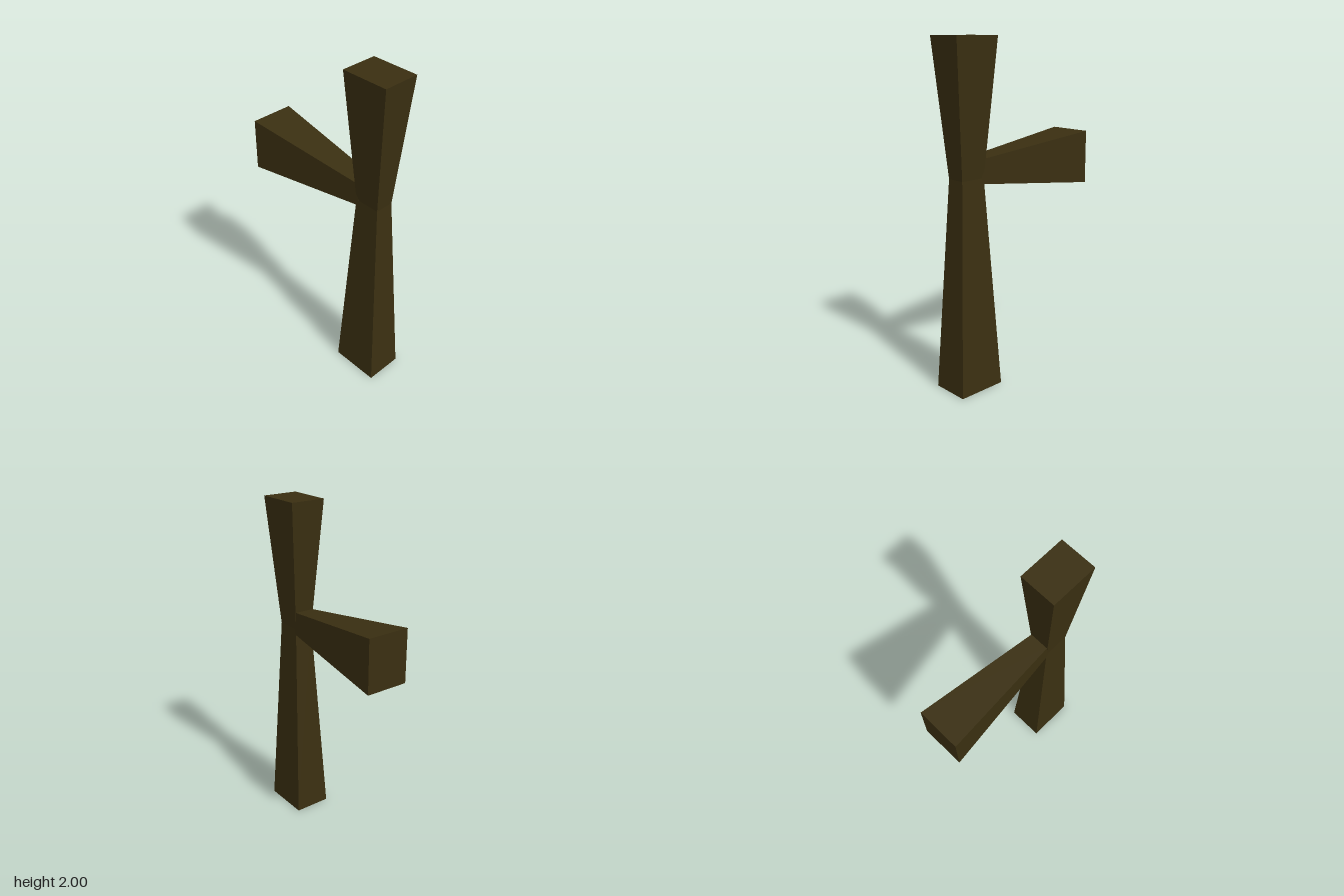
import * as THREE from 'three';

// Box whose cross-section changes linearly along y: bottom and top are [halfX, halfZ]
function taperedBox(height, bottom, top) {
  const geometry = new THREE.BoxGeometry(2, height, 2).toNonIndexed();
  const p = geometry.attributes.position;
  for (let i = 0; i < p.count; i++) {
    const [hx, hz] = p.getY(i) > 0 ? top : bottom;
    p.setX(i, p.getX(i) * hx);
    p.setZ(i, p.getZ(i) * hz);
  }
  geometry.computeVertexNormals();
  return geometry;
}

export function createModel() {
  const model = new THREE.Group();
  model.name = 'postWithArm';
  const darkWood = new THREE.MeshStandardMaterial({ color: 0x3a2f11 });
  darkWood.name = 'darkWood';

  const add = (name, geometry, x, y, z) => {
    const mesh = new THREE.Mesh(geometry, darkWood);
    mesh.name = name;
    mesh.position.set(x, y, z);
    model.add(mesh);
    return mesh;
  };

  // Post: two tapers meeting at a narrow waist
  const waistY = 1.235;
  const waist = [0.056, 0.077];
  const postZ = 0.348;
  add('lowerPost', taperedBox(waistY, [0.113, 0.147], waist), 0, waistY / 2, postZ);
  add('upperPost', taperedBox(2 - waistY, waist, [0.108, 0.141]), 0, (2 + waistY) / 2, postZ);

  // Arm: widens towards the back, its narrow end set into the post
  const armFront = 0.285, armBack = -0.495;
  const arm = add('arm', taperedBox(armFront - armBack, [0.057, 0.069], [0.131, 0.159]),
    0, 1.272, (armFront + armBack) / 2);
  arm.rotation.x = -Math.PI / 2;

  return model;
}
